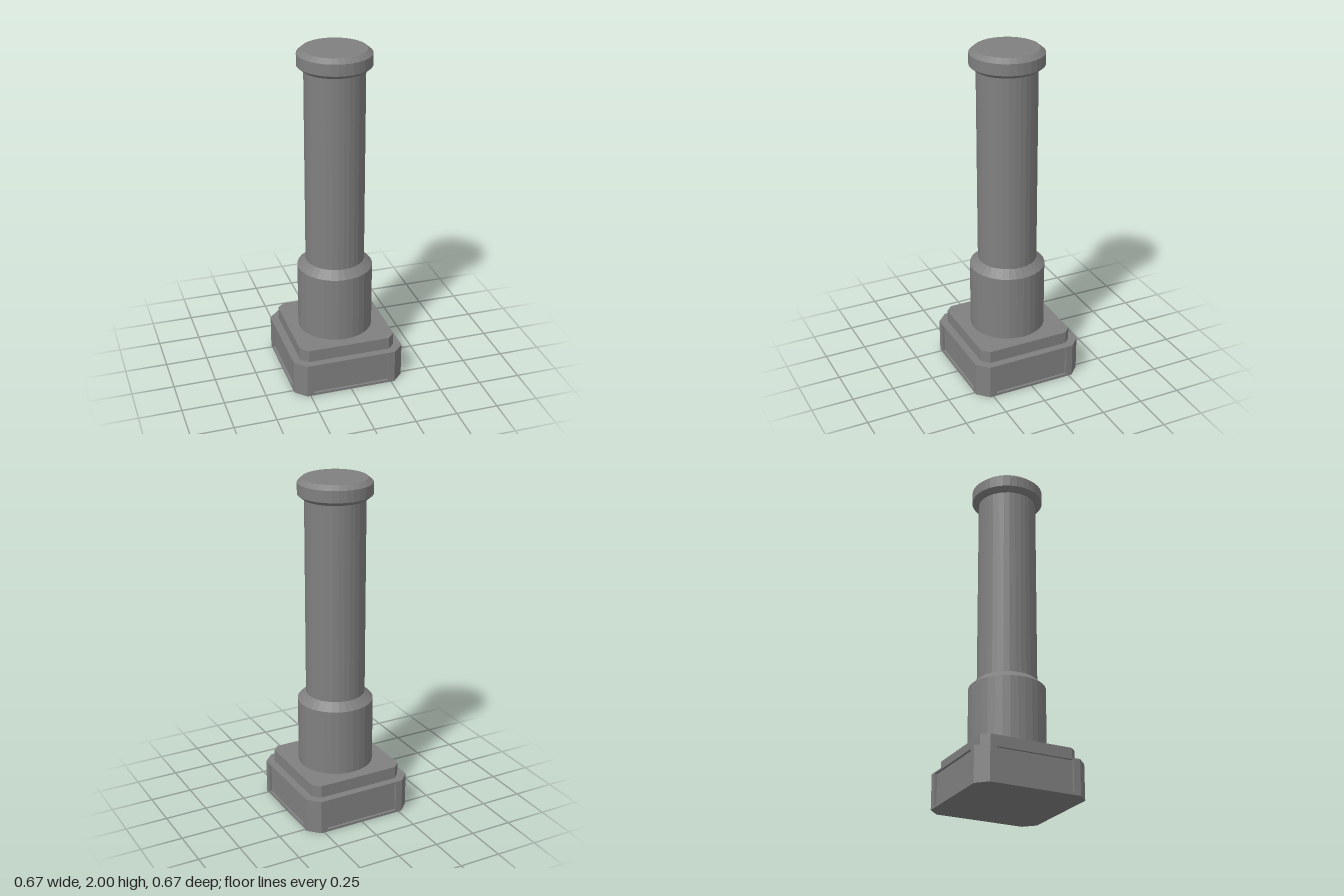
import * as THREE from 'three';

const material = new THREE.MeshStandardMaterial({ color: 0x808080, flatShading: true });

// Square plan with cut corners; an optional notch recesses the middle of every side.
function plan(half, cut, notchHalf = 0, depth = 0) {
  const flat = half - cut;
  const side = [[-flat, -half]];
  if (depth > 0) {
    side.push([-notchHalf, -half], [-notchHalf, -half + depth], [notchHalf, -half + depth], [notchHalf, -half]);
  }
  side.push([flat, -half]);
  const points = [];
  for (let i = 0; i < 4; i++) {
    const c = Math.round(Math.cos(i * Math.PI / 2));
    const s = Math.round(Math.sin(i * Math.PI / 2));
    for (const [x, y] of side) points.push(new THREE.Vector2(x * c - y * s, x * s + y * c));
  }
  return new THREE.Shape(points);
}

// Upright prism from y0 to y1.
function prism(name, shape, y0, y1) {
  const geometry = new THREE.ExtrudeGeometry(shape, { depth: y1 - y0, bevelEnabled: false });
  geometry.rotateX(-Math.PI / 2).translate(0, y0, 0);
  const mesh = new THREE.Mesh(geometry, material);
  mesh.name = name;
  return mesh;
}

// Turned part from [radius, height] pairs, listed bottom to top.
function turned(name, profile) {
  const geometry = new THREE.LatheGeometry(profile.map(([r, y]) => new THREE.Vector2(r, y)), 32);
  const mesh = new THREE.Mesh(geometry, material);
  mesh.name = name;
  return mesh;
}

export function createModel() {
  const model = new THREE.Group();
  model.name = 'column';

  // Base block with a shallow sunken panel on each side
  const base = new THREE.Group();
  base.name = 'base';
  base.add(
    prism('baseBottomRail', plan(0.333, 0.063), 0, 0.015),
    prism('basePanels', plan(0.333, 0.063, 0.229, 0.015), 0.015, 0.197),
    prism('baseTopRail', plan(0.333, 0.063), 0.197, 0.206),
  );

  // Step above the base
  const step = prism('step', plan(0.288, 0.041), 0.206, 0.28);

  // Thick lower drum with a sloped shoulder
  const drum = turned('lowerDrum', [[0.221, 0.28], [0.221, 0.677], [0.173, 0.721]]);

  // Slender shaft
  const shaft = turned('shaft', [[0.173, 0.721], [0.173, 1.886]]);

  // Cap ring, bevelled above and below
  const cap = turned('cap', [[0.173, 1.886], [0.185, 1.886], [0.212, 1.908], [0.212, 1.975], [0.183, 2], [0, 2]]);

  model.add(base, step, drum, shaft, cap);
  return model;
}
